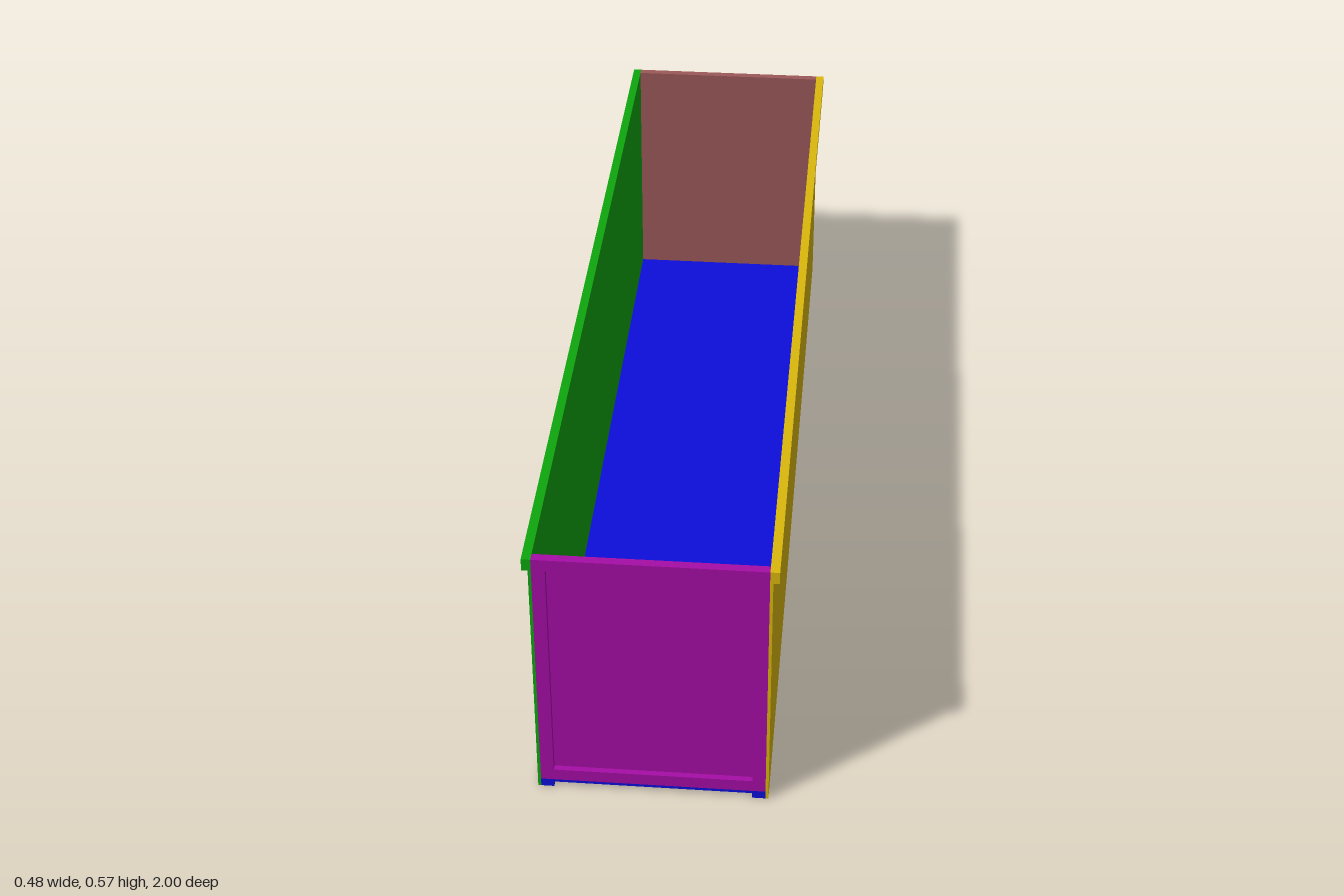
import * as THREE from 'three';

const T = 0.006;      // sheet thickness
const RIB = 0.012;    // depth of lips, frames and runners
const BAND = 0.026;   // width of lips, frames and runners
const W = 0.222;      // half width inside the walls
const H = 0.568;      // overall height
const FLOOR = RIB + T;

// Extrudes an outline along z, starting at z0
function extrude(name, shape, depth, z0, material) {
  const geo = new THREE.ExtrudeGeometry(shape, { depth, bevelEnabled: false });
  geo.translate(0, 0, z0);
  const mesh = new THREE.Mesh(geo, material);
  mesh.name = name;
  return mesh;
}

const outline = (pts) => new THREE.Shape(pts.map(([x, y]) => new THREE.Vector2(x, y)));
const rect = (x, y0, y1) => [[-x, y0], [x, y0], [x, y1], [-x, y1]];
const paint = (color) => new THREE.MeshStandardMaterial({ color });

// Side wall with an outward lip along its top edge
function sideWall(name, side, color) {
  const pts = [[W, 0], [W + T, 0], [W + T, H - BAND], [W + T + RIB, H - BAND], [W + T + RIB, H], [W, H]];
  return extrude(name, outline(pts.map(([x, y]) => [x * side, y])), 2, -1, paint(color));
}

// End panel: thin sheet inside, raised frame outside
function endPanel(name, color) {
  const group = new THREE.Group();
  group.name = name;
  const material = paint(color);
  const frame = outline(rect(W, FLOOR, H));
  frame.holes.push(new THREE.Path(
    rect(W - BAND, FLOOR + BAND, H - BAND).reverse().map(([x, y]) => new THREE.Vector2(x, y))));
  group.add(
    extrude(name + 'Sheet', outline(rect(W, FLOOR, H)), T, 1 - RIB - T, material),
    extrude(name + 'Frame', frame, RIB, 1 - RIB, material));
  return group;
}

export function createModel() {
  const model = new THREE.Group();
  model.name = 'openTrough';

  model.add(sideWall('leftWall', 1, 0xdbb80d), sideWall('rightWall', -1, 0x0ea70e));

  const front = endPanel('frontPanel', 0xa60da6);
  const back = endPanel('backPanel', 0x9b5858);
  back.rotation.y = Math.PI;
  model.add(front, back);

  // Floor with a runner under each long edge
  const floor = outline([
    [-W, 0], [-W + BAND, 0], [-W + BAND, RIB], [W - BAND, RIB],
    [W - BAND, 0], [W, 0], [W, FLOOR], [-W, FLOOR],
  ]);
  model.add(extrude('floor', floor, 2, -1, paint(0x0d0ddb)));

  return model;
}
